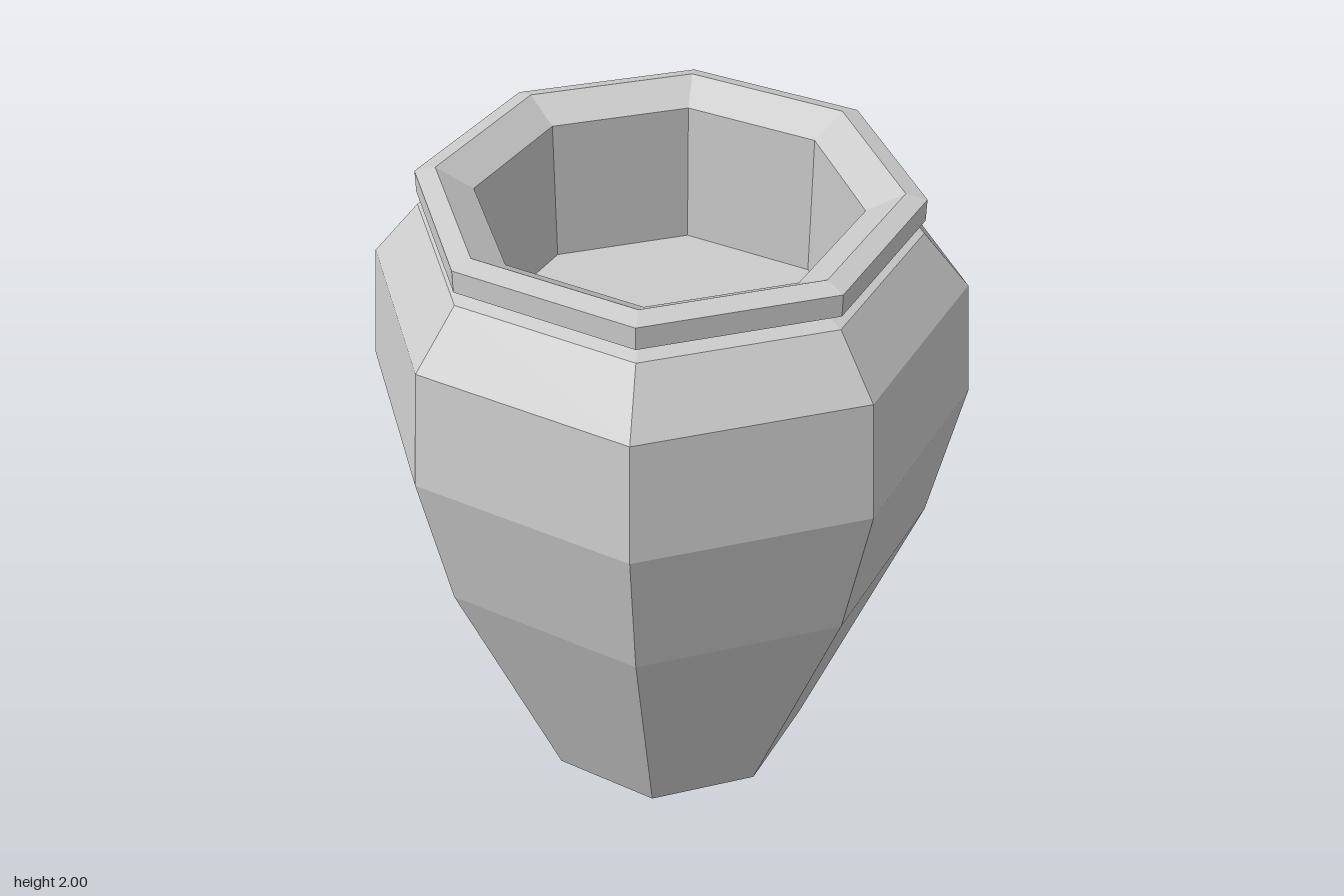
import * as THREE from 'three';

const SIDES = 8;

// Eight-sided ring surface turned from a [radius, height] profile
function turned(name, profile) {
  const points = profile.map(([r, y]) => new THREE.Vector2(r, y));
  const mesh = new THREE.Mesh(
    new THREE.LatheGeometry(points, SIDES),
    new THREE.MeshStandardMaterial({ color: 0xcccccc, flatShading: true })
  );
  mesh.name = name;
  return mesh;
}

export function createModel() {
  const pot = new THREE.Group();
  pot.name = 'pot';

  // Base, tapering belly, shoulder and the pinched neck
  pot.add(turned('body', [
    [0, 0], [0.445, 0], [0.79, 0.91], [0.88, 1.365],
    [0.845, 1.72], [0.71, 1.88], [0.64, 1.9],
  ]));

  // Overhanging lip with a gently sloped top and bevelled mouth
  pot.add(turned('lip', [
    [0.64, 1.9], [0.71, 1.92], [0.71, 1.985], [0.65, 2], [0.545, 1.94],
  ]));

  // Straight inner wall and shallow floor
  pot.add(turned('interior', [[0.545, 1.94], [0.545, 1.5], [0, 1.5]]));

  return pot;
}
